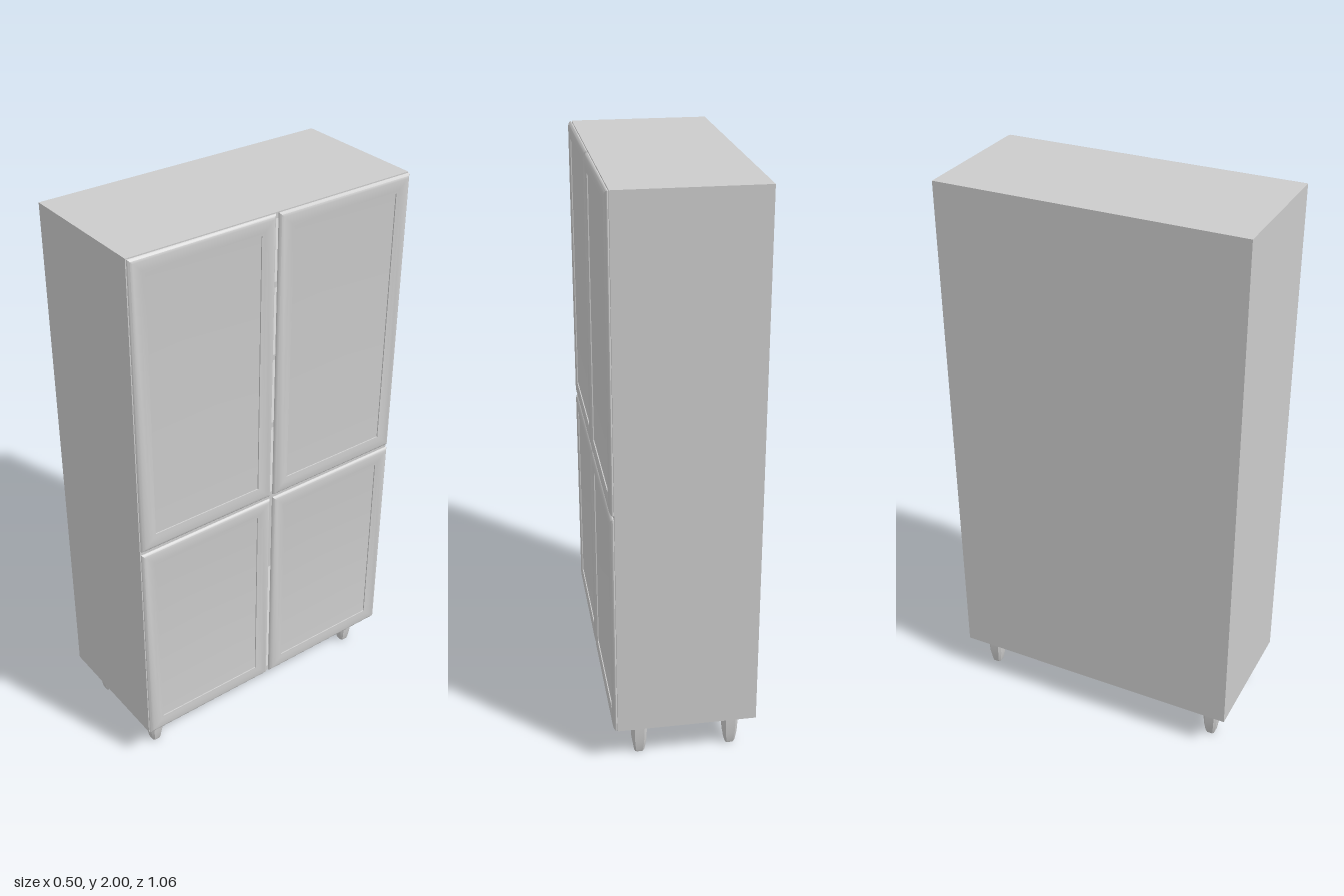
import * as THREE from 'three';
import { toCreasedNormals } from 'three/addons/utils/BufferGeometryUtils.js';

const material = new THREE.MeshStandardMaterial({ color: 0xcccccc });

// Skin a stack of equal-sized rings and cap both ends (rings run counter-clockwise seen from the last one)
function loft(rings, crease) {
  const n = rings[0].length;
  const last = (rings.length - 1) * n;
  const index = [];
  for (let r = 0; r < rings.length - 1; r++) {
    for (let i = 0; i < n; i++) {
      const a = r * n + i, b = r * n + (i + 1) % n;
      index.push(a, b, b + n, a, b + n, a + n);
    }
  }
  for (let i = 1; i < n - 1; i++) {
    index.push(0, i + 1, i, last, last + i, last + i + 1);
  }
  const geometry = new THREE.BufferGeometry();
  geometry.setAttribute('position', new THREE.Float32BufferAttribute(rings.flat(2), 3));
  geometry.setIndex(index);
  return toCreasedNormals(geometry, crease);
}

function addMesh(parent, name, geometry) {
  const mesh = new THREE.Mesh(geometry, material);
  mesh.name = name;
  parent.add(mesh);
  return mesh;
}

// Board given by its limits on each axis
function addBoard(parent, name, x0, x1, y0, y1, z0, z1) {
  const board = addMesh(parent, name, new THREE.BoxGeometry(x1 - x0, y1 - y0, z1 - z0));
  board.position.set((x0 + x1) / 2, (y0 + y1) / 2, (z0 + z1) / 2);
}

// Door section from the back edge to the sunken panel: [inset from edge, x]
const doorProfile = [
  [0.002, 0.233], [0, 0.237], [0.002, 0.241], [0.007, 0.2445], [0.014, 0.247],
  [0.035, 0.247], [0.045, 0.246], [0.055, 0.2445], [0.0555, 0.241],
];

function doorGeometry(y0, y1, z0, z1) {
  return loft(doorProfile.map(([d, x]) => [
    [x, y0 + d, z0 + d], [x, y1 - d, z0 + d], [x, y1 - d, z1 - d], [x, y0 + d, z1 - d],
  ]), 0.6);
}

// Leg section from foot to top: [y, half width]
const legProfile = [[0, 0.015], [0.008, 0.018], [0.045, 0.024], [0.09, 0.0265], [0.145, 0.0265]];

// Square leg with chamfered corners, tapering to the foot
function legGeometry() {
  return loft(legProfile.map(([y, w]) => {
    const c = w * 0.65;
    return [[w, -c], [w, c], [c, w], [-c, w], [-w, c], [-w, -c], [-c, -w], [c, -w]]
      .map(([z, x]) => [x, y, z]);
  }), 0.4);
}

export function createModel() {
  const model = new THREE.Group();
  model.name = 'cabinet';
  const back = -0.249, front = 0.232, bottom = 0.14, top = 2, half = 0.531, t = 0.02;

  // Hollow carcass
  const carcass = new THREE.Group();
  carcass.name = 'carcass';
  model.add(carcass);
  addBoard(carcass, 'leftSide', back, front, bottom, top, half - t, half);
  addBoard(carcass, 'rightSide', back, front, bottom, top, -half, -half + t);
  addBoard(carcass, 'topBoard', back, front, top - t, top, -half + t, half - t);
  addBoard(carcass, 'bottomBoard', back, front, bottom, bottom + t, -half + t, half - t);
  addBoard(carcass, 'backBoard', back, back + t, bottom + t, top - t, -half + t, half - t);
  addBoard(carcass, 'divider', back + t, front, 0.945, 0.975, -half + t, half - t);
  for (const y of [1.22, 1.48, 1.74]) {
    addBoard(carcass, 'shelf', back + t, 0.2, y - t / 2, y + t / 2, -half + t, half - t);
  }

  // Two tall doors above two shorter ones
  for (const [name, y0, y1] of [['upperDoor', 0.965, 1.999], ['lowerDoor', 0.142, 0.953]]) {
    addMesh(model, name, doorGeometry(y0, y1, 0.006, 0.53));
    addMesh(model, name, doorGeometry(y0, y1, -0.53, -0.006));
  }

  // Four legs
  const leg = legGeometry();
  for (const x of [-0.172, 0.15]) {
    for (const z of [-0.456, 0.456]) {
      addMesh(model, 'leg', leg).position.set(x, 0, z);
    }
  }
  return model;
}
